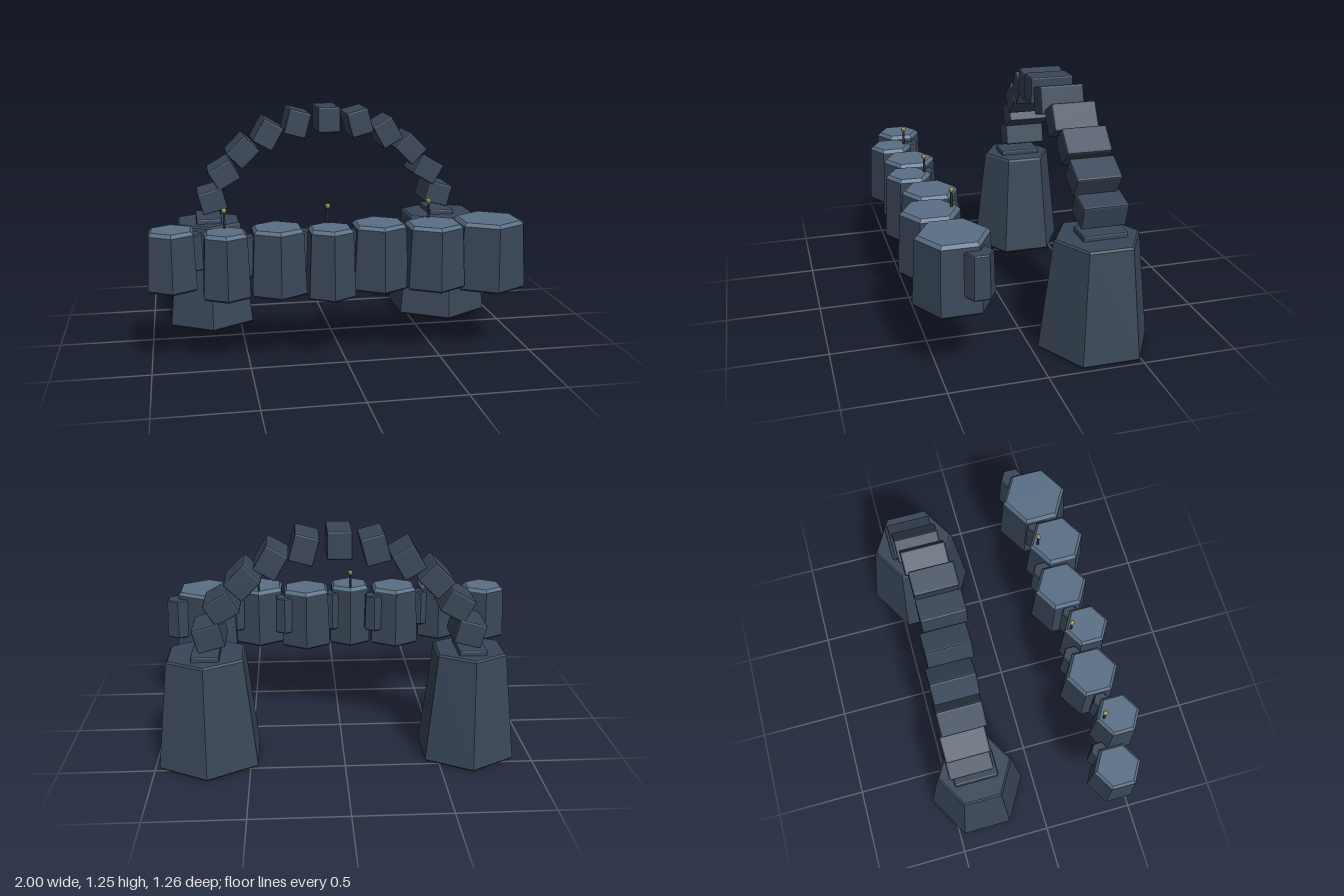
import * as THREE from 'three';
import { RoundedBoxGeometry } from 'three/addons/geometries/RoundedBoxGeometry.js';

const flat = (name, color) => {
  const m = new THREE.MeshStandardMaterial({ color, flatShading: true });
  m.name = name;
  return m;
};

export function createModel() {
  const stone = flat('dark slate stone', 0x3a4759);
  const capStone = flat('light slate cap', 0x5a6f86);
  const stemMat = flat('dark stem', 0x39404a);
  const glow = flat('pale gold', 0xb8a468);

  const root = new THREE.Group();
  root.name = 'stoneArchAndTerrace';

  const add = (name, geometry, material, x, y, z, parent = root) => {
    const mesh = new THREE.Mesh(geometry, material);
    mesh.name = name;
    mesh.position.set(x, y, z);
    parent.add(mesh);
    return mesh;
  };

  // Six-sided solid from a bottom-to-top profile, corners pointing along z
  const hexSolid = (profile) => {
    const g = new THREE.LatheGeometry(profile.map(([r, y]) => new THREE.Vector2(r, y)), 6).toNonIndexed();
    g.computeVertexNormals();
    return g;
  };
  const taperedHex = (rBottom, rTop, h, bevel) => hexSolid([
    [0, 0], [rBottom - bevel, 0], [rBottom, bevel],
    [rTop, h - bevel], [rTop - bevel, h], [0, h],
  ]);

  // Two tapered towers carrying the arch
  add('rightTower', taperedHex(0.272, 0.205, 0.595, 0.01), stone, -0.665, 0, -0.335);
  add('leftTower', taperedHex(0.298, 0.228, 0.595, 0.01), stone, 0.718, 0, -0.335);

  // Arch of bevelled blocks along a half ellipse, each block turned by its step
  const depthRight = [-0.302, -0.322, -0.34, -0.345, -0.358, -0.36, -0.34];
  const depthLeft = [-0.302, -0.3, -0.313, -0.328, -0.342, -0.357, -0.355];
  const arch = new THREE.Group();
  arch.name = 'arch';
  root.add(arch);
  const block = new RoundedBoxGeometry(0.128, 0.146, 0.238, 1, 0.009);
  for (let k = -6; k <= 6; k++) {
    const a = k * Math.PI / 12;
    const z = (k < 0 ? depthRight : depthLeft)[Math.abs(k)];
    add('archBlock', block, stone, 0.025 + 0.69 * Math.sin(a), 0.56 + 0.62 * Math.cos(a), z, arch)
      .rotation.z = a;
  }

  // Row of hexagonal columns: x, z, radius, bottom y, z of the lamp if any
  const columns = [
    [-0.878, 0.385, 0.141, 0.415],
    [-0.612, 0.475, 0.134, 0.388, 0.395],
    [-0.345, 0.413, 0.160, 0.376],
    [-0.081, 0.465, 0.137, 0.360, 0.375],
    [0.184, 0.400, 0.163, 0.376],
    [0.462, 0.455, 0.171, 0.386, 0.345],
    [0.771, 0.412, 0.203, 0.360],
  ];
  const top = 0.72;
  for (const [x, z, r, y, lampZ] of columns) {
    const rTop = r * 0.905;
    const column = new THREE.Group();
    column.name = 'terraceColumn';
    root.add(column);

    // Body, with a bevelled lighter cap
    const h = 0.702 - y;
    add('columnBody', hexSolid([[0, 0], [r - 0.01, 0], [r, 0.01], [rTop, h], [0, h]]), stone, x, y, z, column);
    add('columnCap', hexSolid([[rTop, 0], [rTop - 0.016, 0.018], [0, 0.018]]), capStone, x, 0.702, z, column);

    // Small buttress at the back left corner
    const hs = (top - y) * 0.62;
    add('columnButtress', taperedHex(r * 0.39, r * 0.355, hs, 0.006), stone,
      x + r * 0.78, 0.682 - hs, z - r * 0.42, column);

    // Thin lamp standing near the back edge
    if (lampZ) {
      add('lampStem', new THREE.CylinderGeometry(0.006, 0.008, 0.085, 6), stemMat, x, top + 0.0375, lampZ, column);
      add('lampHead', new THREE.SphereGeometry(0.014, 8, 6), glow, x, 0.809, lampZ, column);
    }
  }

  return root;
}
